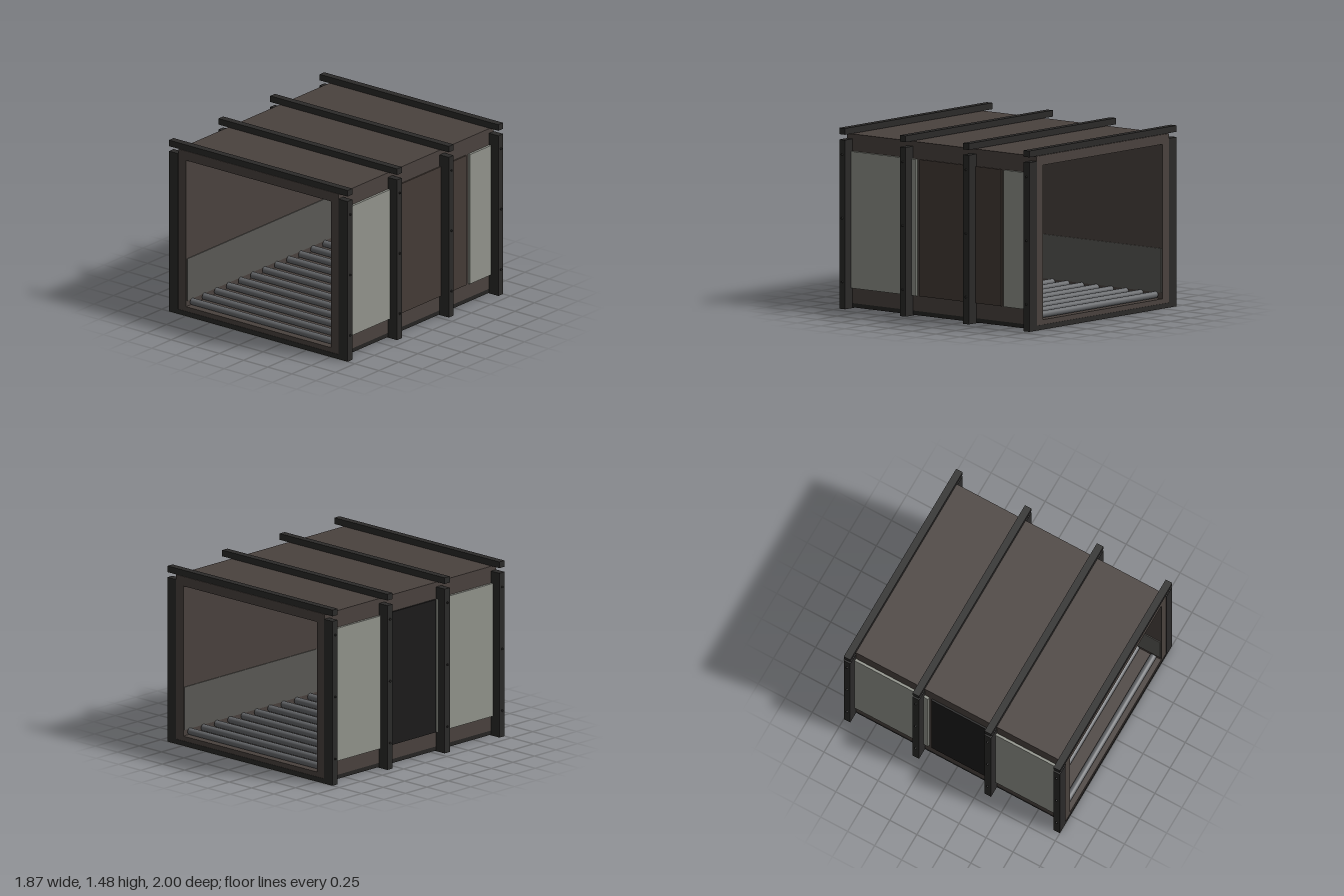
import * as THREE from 'three';

const mat = (color) => new THREE.MeshStandardMaterial({ color });

export function createModel() {
  const model = new THREE.Group();
  const shellMat = mat(0x4a423e), frameMat = mat(0x2b2a29), baseMat = mat(0x252423);
  const panelMat = mat(0x92948c), doorMat = mat(0x453b36), darkDoorMat = mat(0x1c1b1b);
  const rollerMat = mat(0x65676a), liningMat = mat(0x5a5955);

  const add = (name, geometry, material, x = 0, y = 0, z = 0, parent = model) => {
    const mesh = new THREE.Mesh(geometry, material);
    mesh.name = name;
    mesh.position.set(x, y, z);
    parent.add(mesh);
    return mesh;
  };
  // Box given by its two extreme corners
  const box = (name, material, x0, x1, y0, y1, z0, z1, parent) =>
    add(name, new THREE.BoxGeometry(x1 - x0, y1 - y0, z1 - z0), material,
      (x0 + x1) / 2, (y0 + y1) / 2, (z0 + z1) / 2, parent);

  // Tunnel shell: a rectangular tube open at both ends
  const rect = (Type, w, y0, y1) => new Type([
    new THREE.Vector2(-w, y0), new THREE.Vector2(w, y0),
    new THREE.Vector2(w, y1), new THREE.Vector2(-w, y1),
  ]);
  const section = rect(THREE.Shape, 0.83, 0.04, 1.42);
  section.holes.push(rect(THREE.Path, 0.75, 0.08, 1.34));
  add('tunnelShell', new THREE.ExtrudeGeometry(section, { depth: 1.994, bevelEnabled: false }),
    shellMat, 0, 0, -0.997);
  box('basePlate', baseMat, -0.83, 0.83, 0.006, 0.04, -0.995, 0.995);

  // Low lining boards along the inner walls
  for (const s of [-1, 1]) {
    box('innerLining', liningMat, s * 0.7465 - 0.0035, s * 0.7465 + 0.0035, 0.13, 0.49, -0.99, 0.99);
  }

  // Four outer frames with posts, beams and bolts
  const boltGeo = new THREE.CylinderGeometry(0.009, 0.009, 0.02, 12).rotateZ(Math.PI / 2);
  for (const z of [-0.97, -0.333, 0.333, 0.97]) {
    const frame = new THREE.Group();
    frame.name = 'frame';
    frame.position.z = z;
    model.add(frame);
    box('topBeam', frameMat, -0.925, 0.925, 1.423, 1.475, -0.03, 0.03, frame);
    box('bottomBeam', frameMat, -0.83, 0.83, 0, 0.04, -0.03, 0.03, frame);
    for (const s of [-1, 1]) {
      box('post', frameMat, s * 0.8775 - 0.0475, s * 0.8775 + 0.0475, 0, 1.38, -0.03, 0.03, frame);
      for (const y of [0.22, 0.74, 1.26]) add('bolt', boltGeo, frameMat, s * 0.925, y, 0, frame);
    }
  }

  // Side windows and doors: [side, z start, z end]
  for (const [s, z0, z1] of [[1, 0.255, 0.95], [1, -0.95, -0.665], [-1, -0.95, -0.26], [-1, 0.3, 0.95]]) {
    box('windowPanel', panelMat, s * 0.84 - 0.011, s * 0.84 + 0.011, 0.165, 1.28, z0, z1);
  }
  box('leftDoor', doorMat, 0.825, 0.842, 0.165, 1.28, -0.635, 0.225);
  box('rightDoor', darkDoorMat, -0.845, -0.825, 0.165, 1.28, -0.235, 0.285);

  // Roller bed
  const rollerGeo = new THREE.CylinderGeometry(0.028, 0.028, 1.48, 20).rotateZ(Math.PI / 2);
  const axleGeo = new THREE.CylinderGeometry(0.013, 0.013, 1.52, 10).rotateZ(Math.PI / 2);
  const count = 13;
  for (let i = 0; i < count; i++) {
    const z = -0.93 + (1.86 * i) / (count - 1);
    add('roller', rollerGeo, rollerMat, 0, 0.109, z);
    add('rollerAxle', axleGeo, frameMat, 0, 0.104, z);
  }
  return model;
}
